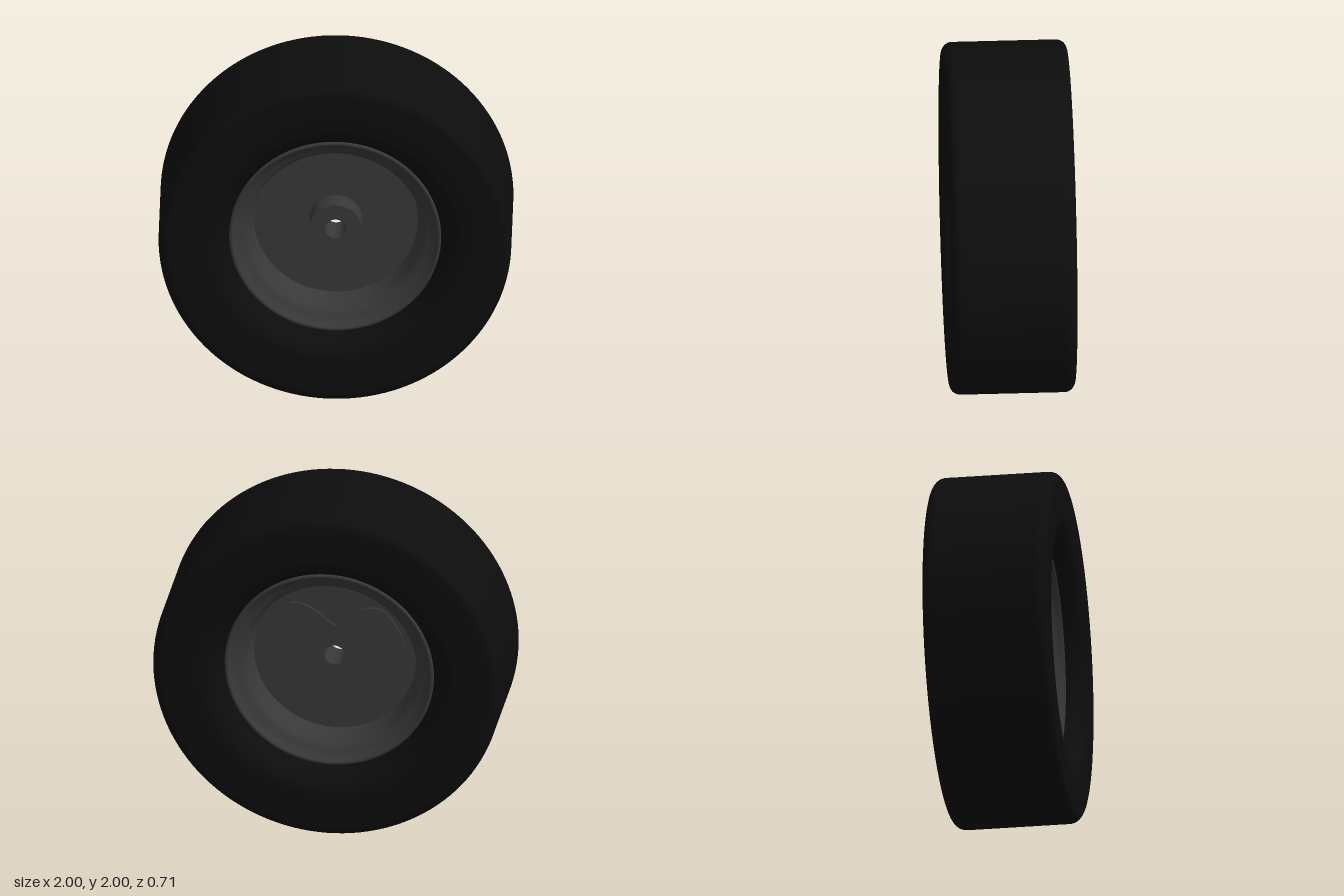
import * as THREE from 'three';
import { toCreasedNormals } from 'three/addons/utils/BufferGeometryUtils.js';

const V = (p) => new THREE.Vector2(p[0], p[1]);
const mirror = (pts) => pts.map(([r, z]) => [r, -z]).reverse();

// Revolves a profile of [radius, z] points around the z axis.
function turned(name, points, material, segments = 96) {
  const geometry = new THREE.LatheGeometry(points.map(V), segments);
  geometry.rotateX(Math.PI / 2);
  const mesh = new THREE.Mesh(geometry, material);
  mesh.name = name;
  return mesh;
}

export function createModel() {
  const rubber = new THREE.MeshStandardMaterial({ color: 0x0d0d0d });
  rubber.name = 'black rubber';
  const metal = new THREE.MeshStandardMaterial({ color: 0x383838 });
  metal.name = 'dark grey metal';

  const wheel = new THREE.Group();
  wheel.name = 'wheel';
  wheel.position.y = 1;

  // Tyre: flat tread, rounded shoulders, sidewalls curving in to the rim
  const shoulder = [];
  for (let i = 0; i <= 8; i++) {
    const a = (i / 8) * Math.PI / 2;
    shoulder.push([0.94 + 0.06 * Math.cos(a), 0.295 + 0.06 * Math.sin(a)]);
  }
  const side = [...shoulder, [0.85, 0.355], [0.74, 0.354], [0.7, 0.346],
    [0.665, 0.325], [0.635, 0.29], [0.612, 0.255], [0.6, 0.23]];
  wheel.add(turned('tyre', [...mirror(side), ...side], rubber, 128));

  // Rim barrel: rolled lip, shallow ledge and deep well on each side
  const barrel = [[0.602, 0.225], [0.6, 0.24], [0.592, 0.247], [0.582, 0.243],
    [0.568, 0.225], [0.55, 0.208], [0.525, 0.196], [0.505, 0.185],
    [0.493, 0.165], [0.485, 0.12], [0.475, 0.06], [0.465, 0.02]];
  wheel.add(turned('frontRim', barrel, metal));
  wheel.add(turned('backRim', [[0.465, -0.035], ...mirror(barrel).slice(1)], metal));

  // Centre disc, hub and axle bore
  wheel.add(turned('discFront', [[0.465, 0.02], [0.15, 0.02]], metal));
  wheel.add(turned('discBack', [[0.06, -0.035], [0.465, -0.035]], metal));
  wheel.add(turned('hubSide', [[0.15, 0.02], [0.15, 0.148]], metal, 64));
  wheel.add(turned('hubFace', [[0.15, 0.148], [0.06, 0.148]], metal, 64));
  wheel.add(turned('axleBore', [[0.06, 0.148], [0.06, -0.05]], metal, 64));

  // Back plate with a smooth scooped notch at the top
  const outline = [];
  for (let i = 0; i < 120; i++) {
    const a = (i / 120) * Math.PI * 2 - Math.PI;
    const notch = Math.abs(a) < 0.8 ? 0.11 * (1 + Math.cos(Math.PI * a / 0.8)) : 0;
    const r = 0.41 - notch;
    outline.push(new THREE.Vector2(-r * Math.sin(a), r * Math.cos(a)));
  }
  const shape = new THREE.Shape(outline);
  const bore = new THREE.Path();
  bore.absarc(0, 0, 0.06, 0, Math.PI * 2, true);
  shape.holes.push(bore);
  const plate = new THREE.ExtrudeGeometry(shape, { depth: 0.015, bevelEnabled: false, curveSegments: 32 });
  const backPlate = new THREE.Mesh(toCreasedNormals(plate, 0.6), metal);
  backPlate.name = 'backPlate';
  backPlate.position.z = -0.05;
  wheel.add(backPlate);

  const model = new THREE.Group();
  model.name = 'wheelModel';
  model.add(wheel);
  return model;
}
